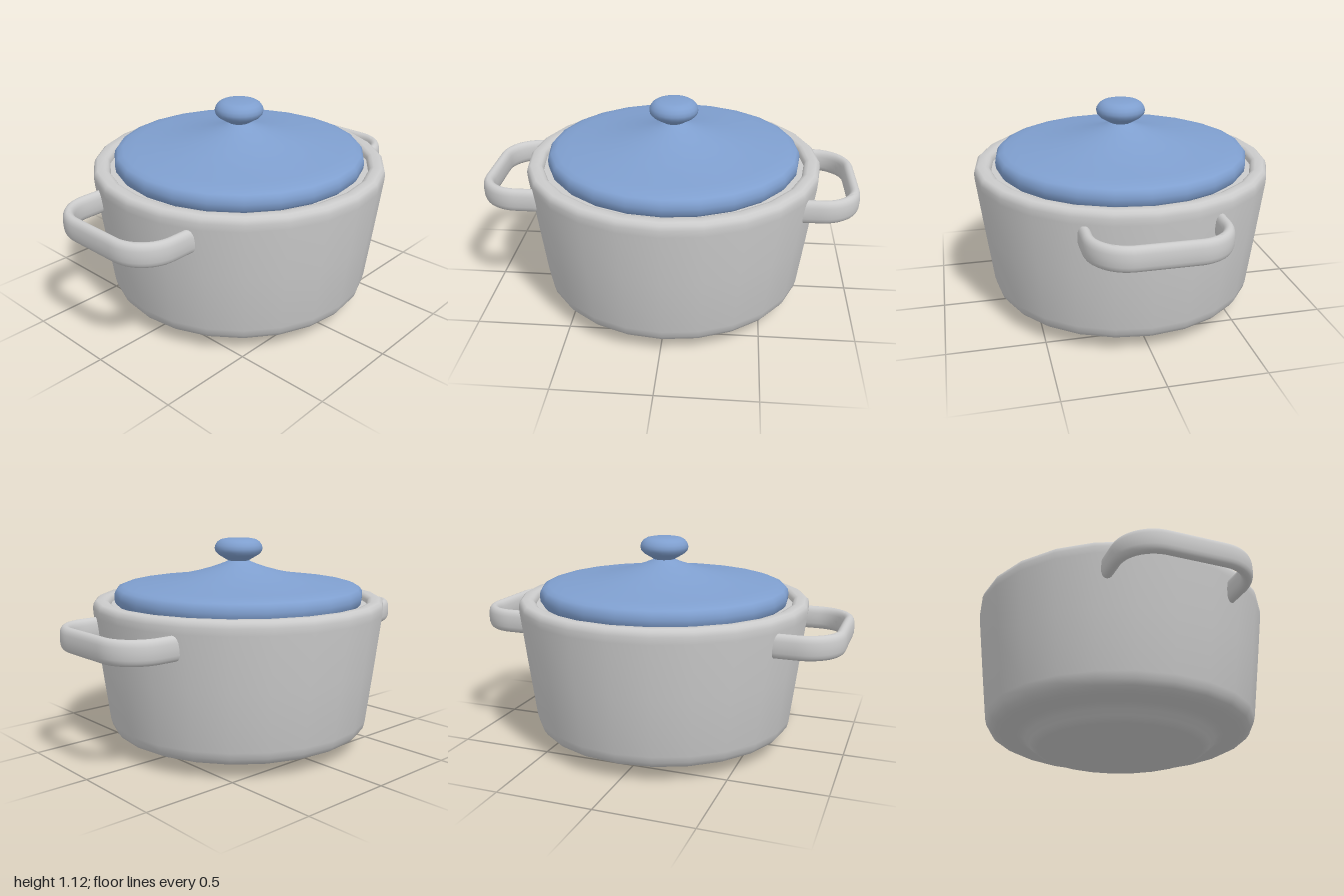
import * as THREE from 'three';
import { toCreasedNormals } from 'three/addons/utils/BufferGeometryUtils.js';

const SIDES = 24;
const CENTRE_X = 0.012;
const grey = new THREE.MeshStandardMaterial({ color: 0xcccccc });
const blue = new THREE.MeshStandardMaterial({ color: 0x7f9fcf });

// Turned part from a profile of [radius, height] pairs, bottom to top on the outside
function turned(name, profile, material) {
  const points = profile.map(([r, y]) => new THREE.Vector2(r, y));
  const geometry = toCreasedNormals(new THREE.LatheGeometry(points, SIDES), 0.75);
  const mesh = new THREE.Mesh(geometry, material);
  mesh.name = name;
  mesh.position.x = CENTRE_X;
  return mesh;
}

// Loop handle: a tube along a rounded U, stretched into an upright band
function handleGeometry() {
  const thickness = 0.03, halfHeight = 0.0625, y = 0.66;
  const outer = 0.968, halfWidth = 0.328, bend = 0.18, root = 0.67;
  const v = (x, z) => new THREE.Vector3(x, 0, z);
  const path = new THREE.CurvePath();
  path.add(new THREE.LineCurve3(v(root, halfWidth), v(outer - bend, halfWidth)));
  const k = bend * 0.45;
  path.add(new THREE.CubicBezierCurve3(v(outer - bend, halfWidth), v(outer - k, halfWidth),
    v(outer, halfWidth - k), v(outer, halfWidth - bend)));
  path.add(new THREE.LineCurve3(v(outer, halfWidth - bend), v(outer, bend - halfWidth)));
  path.add(new THREE.CubicBezierCurve3(v(outer, bend - halfWidth), v(outer, k - halfWidth),
    v(outer - k, -halfWidth), v(outer - bend, -halfWidth)));
  path.add(new THREE.LineCurve3(v(outer - bend, -halfWidth), v(root, -halfWidth)));

  const geometry = new THREE.TubeGeometry(path, 48, thickness, 20, false);
  const p = geometry.attributes.position;
  for (let i = 0; i < p.count; i++) {
    const t = p.getY(i) / thickness;
    p.setY(i, y + halfHeight * Math.sign(t) * Math.min(1, Math.abs(t)) ** 0.65);
  }
  return toCreasedNormals(geometry, 0.9);
}

export function createModel() {
  const model = new THREE.Group();
  model.name = 'casserolePot';

  // Pot: foot, rounded base, flared wall, rim, lid ledge and hollow inside
  model.add(turned('pot', [
    [0, 0], [0.435, 0], [0.455, 0.006], [0.475, 0.022], [0.5, 0.046], [0.525, 0.062], [0.55, 0.067],
    [0.62, 0.068], [0.655, 0.074], [0.685, 0.09], [0.703, 0.115], [0.712, 0.15],
    [0.75, 0.45], [0.784, 0.73], [0.786, 0.765], [0.78, 0.788], [0.765, 0.8],
    [0.725, 0.8], [0.71, 0.795], [0.7, 0.782], [0.698, 0.765], [0.63, 0.765],
    [0.6, 0.2], [0.56, 0.15], [0, 0.14],
  ], grey));

  // Lid with a rounded edge, sweeping up to the neck
  model.add(turned('lid', [
    [0, 0.768], [0.655, 0.768], [0.67, 0.785], [0.673, 0.815], [0.669, 0.84], [0.655, 0.858],
    [0.625, 0.869], [0.56, 0.878], [0.45, 0.892], [0.35, 0.908], [0.25, 0.93],
    [0.17, 0.952], [0.11, 0.972], [0.07, 0.988], [0.052, 0.998], [0, 1.0],
  ], blue));

  // Knob
  model.add(turned('lidKnob', [
    [0.05, 0.985], [0.056, 0.996], [0.08, 1.01], [0.11, 1.028], [0.126, 1.045], [0.13, 1.062],
    [0.126, 1.08], [0.113, 1.098], [0.095, 1.109], [0.07, 1.114], [0, 1.115],
  ], blue));

  // Side handles
  const geometry = handleGeometry();
  [['leftHandle', 0], ['rightHandle', Math.PI]].forEach(([name, turn]) => {
    const handle = new THREE.Mesh(geometry, grey);
    handle.name = name;
    handle.rotation.y = turn;
    model.add(handle);
  });
  return model;
}
